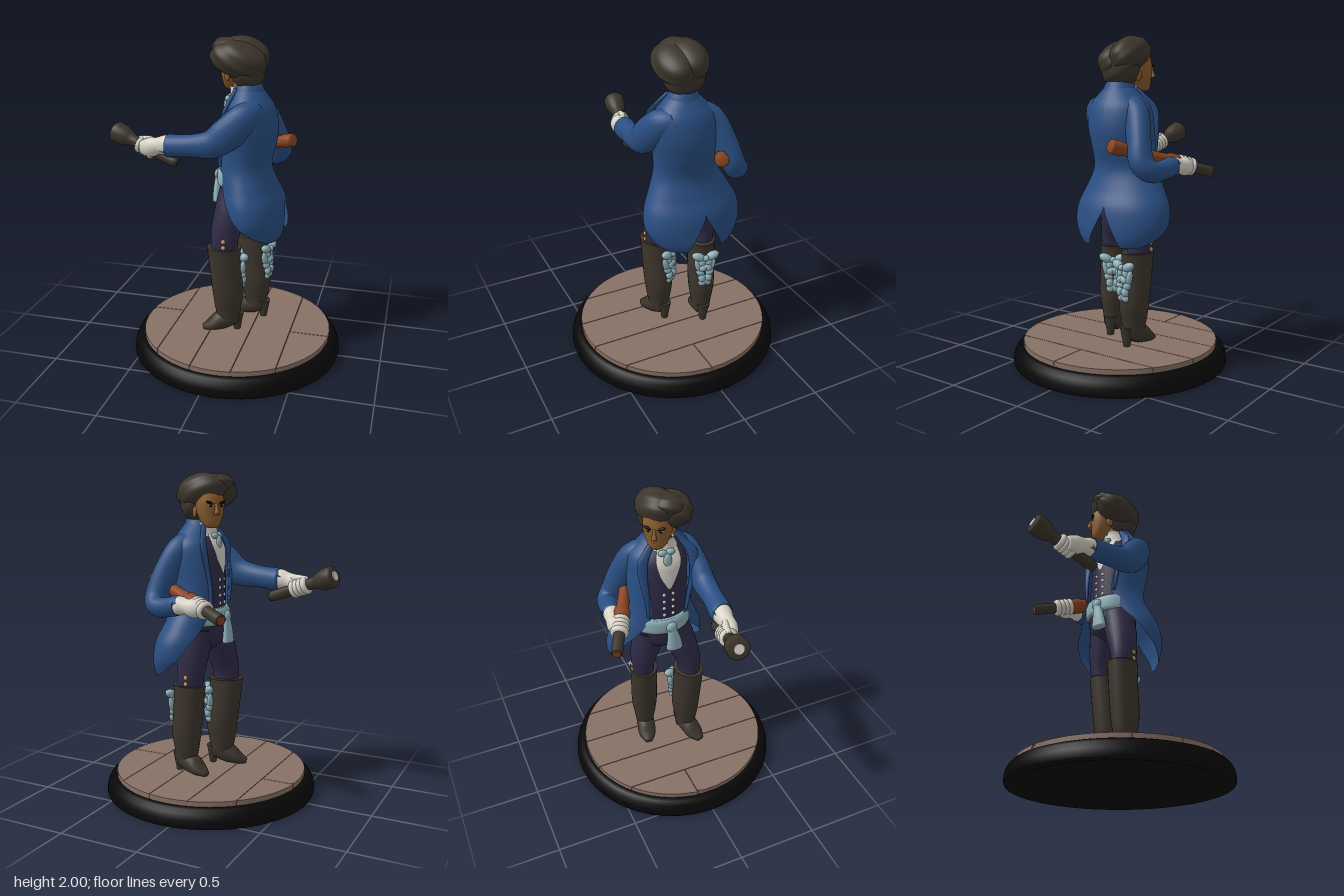
import * as THREE from 'three';

const V = (p) => new THREE.Vector3(p[0], p[1], p[2]);
const paint = (name, color, side = THREE.FrontSide) => {
  const m = new THREE.MeshStandardMaterial({ color, side });
  m.name = name;
  return m;
};

// Smoothly subdivide a list of rows (positions, radii and angles together)
function refine(rows, n) {
  const out = [], last = rows.length - 1;
  for (let i = 0; i < last; i++) for (let k = 0; k < n; k++) {
    const t = k / n, r = (j) => rows[Math.max(0, Math.min(last, j))];
    out.push(rows[i].map((_, c) => {
      const [a, b, d, e] = [r(i - 1)[c], r(i)[c], r(i + 1)[c], r(i + 2)[c]];
      return 0.5 * (2 * b + (d - a) * t + (2 * a - 5 * b + 4 * d - e) * t * t + (3 * b - a - 3 * d + e) * t ** 3);
    }));
  }
  out.push(rows[last]);
  return out;
}

// Loft through rows [x, y, z, ra, rb, startDeg, endDeg]; open when angles are given
function loft(rows, { ref = [1, 0, 0], flat = false, seg = 24, sub = 5 } = {}) {
  const R = refine(rows, sub), open = rows[0].length > 5, w = open ? seg + 1 : seg;
  const pos = [], idx = [];
  R.forEach((r, i) => {
    const T = flat ? new THREE.Vector3(0, 1, 0)
      : V(R[Math.min(i + 1, R.length - 1)]).sub(V(R[Math.max(i - 1, 0)])).normalize();
    const U = V(ref).addScaledVector(T, -V(ref).dot(T)).normalize();
    const W = T.clone().cross(U);
    const a0 = open ? r[5] * Math.PI / 180 : 0, a1 = open ? r[6] * Math.PI / 180 : Math.PI * 2;
    for (let j = 0; j < w; j++) {
      const a = a0 + (a1 - a0) * j / seg;
      pos.push(...V(r).addScaledVector(U, r[3] * Math.cos(a)).addScaledVector(W, r[4] * Math.sin(a)).toArray());
    }
  });
  for (let i = 0; i < R.length - 1; i++) for (let j = 0; j < seg; j++) {
    const k = (j + 1) % w, a = i * w + j, b = i * w + k;
    idx.push(a, b, b + w, a, b + w, a + w);
  }
  if (!open) {
    const c = pos.length / 3, e = (R.length - 1) * w;
    pos.push(...R[0].slice(0, 3), ...R[R.length - 1].slice(0, 3));
    for (let j = 0; j < w; j++) {
      const k = (j + 1) % w;
      idx.push(c, k, j, c + 1, e + j, e + k);
    }
  }
  const g = new THREE.BufferGeometry();
  g.setAttribute('position', new THREE.Float32BufferAttribute(pos, 3));
  g.setIndex(idx);
  g.computeVertexNormals();
  return g;
}

export function createModel() {
  const root = new THREE.Group();
  const blue = paint('coat blue', 0x2a4f83, THREE.DoubleSide), navy = paint('navy cloth', 0x2f2b47);
  const brown = paint('dark brown', 0x3c352c), wood = paint('plank wood', 0x877166);
  const rust = paint('rust brown', 0x8a4420), skin = paint('skin', 0x8b5d2f);
  const white = paint('off white', 0xd6d2c6, THREE.DoubleSide), pale = paint('pale blue', 0x8fb1ba, THREE.DoubleSide);
  const black = paint('black', 0x070707), gold = paint('gold', 0xc8955a);
  const add = (name, geo, mat, parent = root) => {
    const m = new THREE.Mesh(geo, mat);
    m.name = name;
    parent.add(m);
    return m;
  };
  const ball = (name, mat, p, s, parent = root) => {
    const m = add(name, new THREE.SphereGeometry(1, 24, 16), mat, parent);
    m.position.set(...p);
    m.scale.set(...s);
    return m;
  };
  const group = (name, parent = root) => {
    const g = new THREE.Group();
    g.name = name;
    parent.add(g);
    return g;
  };
  const lathe = (pts) => new THREE.LatheGeometry(pts.map((p) => new THREE.Vector2(...p)), 64);

  // Round base with a rolled rim
  const base = group('base');
  base.position.x = 0.065;
  add('baseRim', lathe([[0, 0.012], [0.58, 0.012], [0.6, 0], [0.662, 0], [0.667, 0.015], [0.664, 0.05],
    [0.65, 0.085], [0.63, 0.105], [0.61, 0.112], [0, 0.112]]), black, base);
  add('plankBed', new THREE.CylinderGeometry(0.598, 0.598, 0.026, 64), wood, base).position.y = 0.122;
  // Planks clipped to a circle
  const plank = (x0, x1, z0 = -1, z1 = 1) => {
    const pts = [], R = 0.602, n = 14, g = 0.002;
    for (let s = 1; s >= -1; s -= 2) for (let k = 0; k <= n; k++) {
      const t = s > 0 ? k / n : 1 - k / n, x = x0 + g + (x1 - x0 - 2 * g) * t;
      const h = s * Math.sqrt(Math.max(0, R * R - x * x));
      pts.push(new THREE.Vector2(x, -Math.max(z0 + g, Math.min(z1 - g, -h))));
    }
    const geo = new THREE.ExtrudeGeometry(new THREE.Shape(pts), { depth: 0.035, bevelEnabled: false });
    add('plank', geo.rotateX(-Math.PI / 2).translate(0, 0.108, 0), wood, base);
  };
  plank(-0.602, -0.395, -1, -0.08);
  plank(-0.602, -0.395, -0.08, 1);
  [-0.395, -0.145, 0.105].forEach((x) => plank(x, x + 0.25));
  plank(0.355, 0.602, -1, 0.03);
  plank(0.355, 0.602, 0.03, 1);

  // Heeled boots with ruffled bows behind the calf
  const boot = (name, x, z, turn, bowTurn) => {
    const g = group(name);
    g.position.set(x, 0, z);
    g.rotation.y = turn;
    add('bootShaft', loft([[0.045, 0.185, 0, 0.04, 0.042], [0.035, 0.215, 0, 0.066, 0.056], [0.026, 0.28, 0, 0.08, 0.066], [0.026, 0.4, 0, 0.098, 0.083],
      [0.01, 0.55, 0, 0.1, 0.086], [0, 0.68, 0, 0.104, 0.087], [0, 0.715, 0, 0.108, 0.089]], { flat: true }), brown, g);
    add('bootFoot', loft([[0.09, 0.22, 0, 0.03, 0.036], [0.05, 0.23, 0, 0.06, 0.056], [-0.02, 0.206, 0, 0.062, 0.06],
      [-0.08, 0.177, 0, 0.038, 0.056], [-0.135, 0.157, 0, 0.016, 0.024]], { ref: [0, 1, 0] }), brown, g);
    const heel = add('bootHeel', new THREE.CylinderGeometry(0.042, 0.02, 0.12, 16), brown, g);
    heel.position.set(0.085, 0.2, 0);
    const bow = group('legBow', g);
    bow.rotation.y = bowTurn;
    for (let i = 0; i < 5; i++) for (let s = -1; s <= 1; s += 2) {
      const r = ball('ruffle', pale, [0.112 + 0.008 * (i % 2), 0.45 + i * 0.037, s * (0.014 + 0.008 * (i % 3))], [0.022, 0.024, 0.03], bow);
      r.rotation.x = s * (0.5 + i);
    }
    for (let s = -1; s <= 1; s += 2) {
      ball('bowLoop', pale, [0.115, 0.643, s * 0.045], [0.028, 0.027, 0.045], bow).rotation.x = s * -0.4;
      ball('bowEnd', pale, [0.108, 0.57, s * 0.045], [0.02, 0.055, 0.02], bow).rotation.x = s * 0.3;
    }
    ball('bowKnot', pale, [0.128, 0.635, 0], [0.02, 0.02, 0.02], bow);
  };
  boot('leftBoot', 0, 0.088, 0.3, 0.25);
  boot('rightBoot', 0.125, -0.173, -0.22, 0);

  // Breeches with knee buttons
  add('leftBreechesLeg', loft([[0.005, 0.66, 0.09, 0.08, 0.065], [0.005, 0.78, 0.092, 0.088, 0.074],
    [0.03, 0.93, 0.05, 0.1, 0.095], [0.06, 1.1, -0.01, 0.1, 0.1]]), navy);
  add('rightBreechesLeg', loft([[0.125, 0.66, -0.175, 0.08, 0.065], [0.11, 0.78, -0.185, 0.088, 0.074],
    [0.1, 0.93, -0.16, 0.1, 0.095], [0.08, 1.1, -0.12, 0.1, 0.1]]), navy);
  add('hips', loft([[0.08, 0.93, -0.06, 0.06, 0.08], [0.075, 1, -0.06, 0.12, 0.16], [0.065, 1.12, -0.07, 0.12, 0.165]], { flat: true }), navy);
  for (const y of [0.735, 0.775]) {
    ball('leftKneeButton', gold, [0.015, y, 0.168], [0.014, 0.014, 0.008]);
    ball('rightKneeButton', gold, [0.105, y, -0.26], [0.014, 0.014, 0.008]);
  }

  // Waistcoat, shirt front, sash
  add('waistcoat', loft([[0.07, 1.06, -0.07, 0.12, 0.165], [0.07, 1.2, -0.07, 0.12, 0.16], [0.09, 1.42, -0.06, 0.135, 0.165],
    [0.1, 1.55, -0.05, 0.125, 0.16], [0.11, 1.65, -0.04, 0.07, 0.08]], { flat: true }), navy);
  add('shirtFront', loft([[0.089, 1.4, -0.06, 0.142, 0.17, 177, 183], [0.094, 1.48, -0.056, 0.14, 0.168, 162, 198],
    [0.1, 1.56, -0.05, 0.132, 0.166, 152, 208], [0.11, 1.65, -0.042, 0.088, 0.098, 145, 215]], { flat: true }), white);
  for (let i = 0; i < 4; i++) for (let s = -1; s <= 1; s += 2)
    ball('waistcoatButton', white, [-0.047 + i * 0.001, 1.22 + i * 0.047, -0.066 + s * 0.028], [0.008, 0.011, 0.011]);
  add('sash', loft([[0.06, 1.09, -0.07, 0.125, 0.165], [0.06, 1.11, -0.07, 0.138, 0.175], [0.06, 1.17, -0.07, 0.138, 0.175],
    [0.06, 1.195, -0.07, 0.125, 0.165]], { flat: true }), pale);
  ball('sashKnot', pale, [-0.075, 1.14, -0.06], [0.025, 0.035, 0.035]);
  add('sashTail', loft([[-0.075, 0.975, -0.04, 0.03, 0.055], [-0.077, 1.05, -0.045, 0.025, 0.042], [-0.075, 1.14, -0.06, 0.018, 0.025]], { flat: true }), pale);

  // Tailcoat in two mirrored halves; columns: x, y, z, rx, rz, back angle, front angle
  const coat = [[0.182, 0.77, -0.085, 0.168, 0.25, 26, 52], [0.176, 0.82, -0.085, 0.188, 0.28, 19, 82],
    [0.162, 0.9, -0.085, 0.197, 0.312, 9, 108], [0.145, 1, -0.085, 0.196, 0.305, 0, 125], [0.122, 1.1, -0.08, 0.172, 0.26, 0, 141],
    [0.1, 1.22, -0.07, 0.16, 0.205, 0, 150], [0.11, 1.35, -0.06, 0.178, 0.2, 0, 145], [0.12, 1.46, -0.05, 0.18, 0.208, 0, 141],
    [0.125, 1.575, -0.045, 0.155, 0.2, 0, 141], [0.125, 1.645, -0.04, 0.115, 0.14, 0, 142], [0.12, 1.7, -0.038, 0.082, 0.085, 0, 142]];
  for (const s of [1, -1]) {
    const half = coat.map((r) => [...r.slice(0, 5), ...(s > 0 ? [-r[6], -r[5]] : [r[5], r[6]])]);
    add(s > 0 ? 'leftCoatHalf' : 'rightCoatHalf', loft(half, { flat: true }), blue);
    // Lapel follows the front edge
    const edge = coat.slice(5).map(([x, y, z, rx, rz, , a], i) => {
      const t = (a - 5) * Math.PI / 180, w = [0.008, 0.016, 0.026, 0.034, 0.028, 0.012][i];
      return [x + rx * Math.cos(t) - 0.004, y, z + s * (rz * Math.sin(t) + w * 0.5), 0.012, w];
    });
    add('lapel', loft(edge, { flat: true, seg: 12 }), blue);
  }
  add('coatCollar', loft([[0.12, 1.65, -0.038, 0.108, 0.115, -140, 140], [0.12, 1.7, -0.038, 0.088, 0.092, -138, 138],
    [0.118, 1.725, -0.04, 0.08, 0.08, -130, 130]], { flat: true }), blue);

  // Sleeves
  add('leftSleeve', loft([[0.17, 1.575, 0.04, 0.07, 0.08], [0.13, 1.535, 0.105, 0.1, 0.083], [0.03, 1.445, 0.148, 0.1, 0.073],
    [-0.06, 1.385, 0.16, 0.085, 0.068], [-0.2, 1.365, 0.153, 0.068, 0.062], [-0.325, 1.355, 0.14, 0.07, 0.068], [-0.34, 1.355, 0.139, 0.06, 0.058]], { ref: [0, 1, 0] }), blue);
  add('rightSleeve', loft([[0.14, 1.59, -0.13, 0.07, 0.07], [0.17, 1.53, -0.195, 0.09, 0.075], [0.23, 1.4, -0.252, 0.085, 0.07],
    [0.272, 1.27, -0.302, 0.072, 0.072], [0.235, 1.215, -0.348, 0.072, 0.062], [0.16, 1.22, -0.372, 0.06, 0.058],
    [0.085, 1.235, -0.383, 0.063, 0.058], [0.075, 1.235, -0.385, 0.055, 0.05]], { ref: [0.5, 0.5, -0.7] }), blue);

  // Align a group's y axis with a line
  const along = (g, from, to) => {
    g.position.set(...from);
    g.quaternion.setFromUnitVectors(new THREE.Vector3(0, 1, 0), V(to).sub(V(from)).normalize());
    return g;
  };
  const grip = (parent, y0) => {
    for (let i = 0; i < 4; i++) {
      const f = add('finger', new THREE.TorusGeometry(0.037, 0.019, 10, 20), white, parent);
      f.rotation.x = Math.PI / 2;
      f.position.y = y0 + i * 0.028;
    }
  };

  // Torch in the left hand
  const torch = along(group('torch'), [-0.715, 1.403, 0.05], [-0.28, 1.245, 0.13]);
  add('torchBody', lathe([[0, 0], [0.056, 0], [0.066, 0.012], [0.064, 0.07], [0.048, 0.115], [0.036, 0.14], [0.034, 0.44], [0.028, 0.465], [0, 0.465]]), brown, torch);
  const lens = add('torchLens', new THREE.CylinderGeometry(0.03, 0.03, 0.008, 24), white, torch);
  lens.position.y = -0.002;
  grip(torch, 0.2);
  add('leftGlove', loft([[-0.3, 1.355, 0.142, 0.052, 0.05], [-0.345, 1.355, 0.138, 0.064, 0.058], [-0.4, 1.348, 0.134, 0.052, 0.048],
    [-0.45, 1.335, 0.13, 0.06, 0.05], [-0.51, 1.325, 0.12, 0.045, 0.036]], { ref: [0, 1, 0] }), white);
  add('leftThumb', loft([[-0.42, 1.37, 0.12, 0.022, 0.022], [-0.48, 1.375, 0.09, 0.021, 0.021], [-0.54, 1.375, 0.08, 0.014, 0.014]], { ref: [0, 1, 0], seg: 12 }), white);

  // Long baton under the right arm
  const baton = along(group('baton'), [-0.237, 1.184, -0.468], [0.385, 1.365, -0.155]);
  add('batonBarrel', lathe([[0, 0], [0.033, 0], [0.035, 0.01], [0.033, 0.28], [0, 0.28]]), brown, baton);
  add('batonTip', new THREE.CylinderGeometry(0.026, 0.026, 0.008, 24), rust, baton).position.y = -0.002;
  add('batonStock', lathe([[0, 0.25], [0.046, 0.25], [0.05, 0.26], [0.05, 0.31], [0.04, 0.33], [0.036, 0.4], [0.036, 0.61],
    [0.042, 0.64], [0.042, 0.7], [0.036, 0.712], [0, 0.712]]), rust, baton);
  grip(baton, 0.155);
  add('rightGlove', loft([[0.1, 1.235, -0.385, 0.05, 0.045], [0.06, 1.237, -0.387, 0.056, 0.052], [0.02, 1.235, -0.395, 0.045, 0.045],
    [-0.04, 1.228, -0.4, 0.055, 0.05], [-0.1, 1.22, -0.4, 0.035, 0.03]], { ref: [0, 1, 0] }), white);
  add('rightThumb', loft([[-0.01, 1.26, -0.385, 0.022, 0.022], [-0.07, 1.26, -0.375, 0.021, 0.021], [-0.12, 1.245, -0.385, 0.014, 0.014]], { ref: [0, 1, 0], seg: 12 }), white);

  // Neck, collar and cravat
  add('neck', new THREE.CylinderGeometry(0.052, 0.06, 0.16, 20), skin).position.set(0.075, 1.71, -0.055);
  add('shirtCollar', loft([[0.085, 1.62, -0.045, 0.085, 0.085, -180, 180], [0.075, 1.675, -0.05, 0.07, 0.07, -180, 180], [0.07, 1.705, -0.053, 0.07, 0.07, -168, 168]], { flat: true }), white);
  for (let s = -1; s <= 1; s += 2) ball('cravatLoop', pale, [-0.008, 1.625, -0.06 + s * 0.025], [0.018, 0.02, 0.028]);
  ball('cravatFall', pale, [-0.024, 1.578, -0.06], [0.016, 0.045, 0.026]);

  // Head, turned toward its right
  const head = group('head');
  head.position.set(0.038, 1.8, -0.087);
  head.rotation.y = -0.62;
  add('face', loft([[-0.055, -0.13, 0, 0.026, 0.026], [-0.047, -0.11, 0, 0.05, 0.05], [-0.03, -0.05, 0, 0.074, 0.078],
    [-0.02, 0.02, 0, 0.089, 0.088], [-0.005, 0.1, 0, 0.085, 0.082]], { flat: true }), skin, head);
  add('nose', loft([[-0.102, -0.052, 0, 0.014, 0.017], [-0.118, -0.04, 0, 0.016, 0.018], [-0.114, -0.01, 0, 0.01, 0.01], [-0.104, 0.015, 0, 0.008, 0.009]], { flat: true, seg: 12 }), skin, head);
  ball('mouth', rust, [-0.095, -0.077, 0], [0.007, 0.006, 0.02], head);
  for (let s = -1; s <= 1; s += 2) {
    ball('ear', skin, [0.005, -0.035, s * 0.086], [0.022, 0.034, 0.012], head);
    ball('eye', white, [-0.098, 0, s * 0.036], [0.007, 0.006, 0.016], head);
    ball('pupil', black, [-0.103, 0, s * 0.036], [0.004, 0.007, 0.009], head);
    ball('eyebrow', black, [-0.102, 0.018, s * 0.039], [0.009, 0.008, 0.026], head).rotation.x = s * -0.3;
  }
  // Swept hair: ridged ellipsoids, raised over the brow
  const hair = group('hair');
  hair.position.set(0.06, 1.87, -0.053);
  hair.quaternion.setFromAxisAngle(new THREE.Vector3(0.58, 0, -0.81), 0.3);
  const lock = (p, s) => {
    const geo = new THREE.SphereGeometry(1, 40, 28), a = geo.attributes.position;
    for (let i = 0; i < a.count; i++) {
      const v = new THREE.Vector3().fromBufferAttribute(a, i);
      v.multiplyScalar(1 + 0.025 * Math.sin(9 * v.y + 4 * v.x + 3 * v.z));
      a.setXYZ(i, v.x, v.y, v.z);
    }
    geo.computeVertexNormals();
    const m = add('hairLock', geo, brown, hair);
    m.position.set(...p);
    m.scale.set(...s);
  };
  lock([0.005, 0.002, 0.05], [0.172, 0.105, 0.115]);
  lock([0.015, 0.014, -0.04], [0.16, 0.105, 0.108]);
  lock([-0.05, 0.035, 0], [0.125, 0.068, 0.1]);
  lock([0.07, -0.05, 0.04], [0.105, 0.112, 0.1]);
  lock([0.08, -0.045, -0.01], [0.09, 0.108, 0.1]);
  return root;
}
